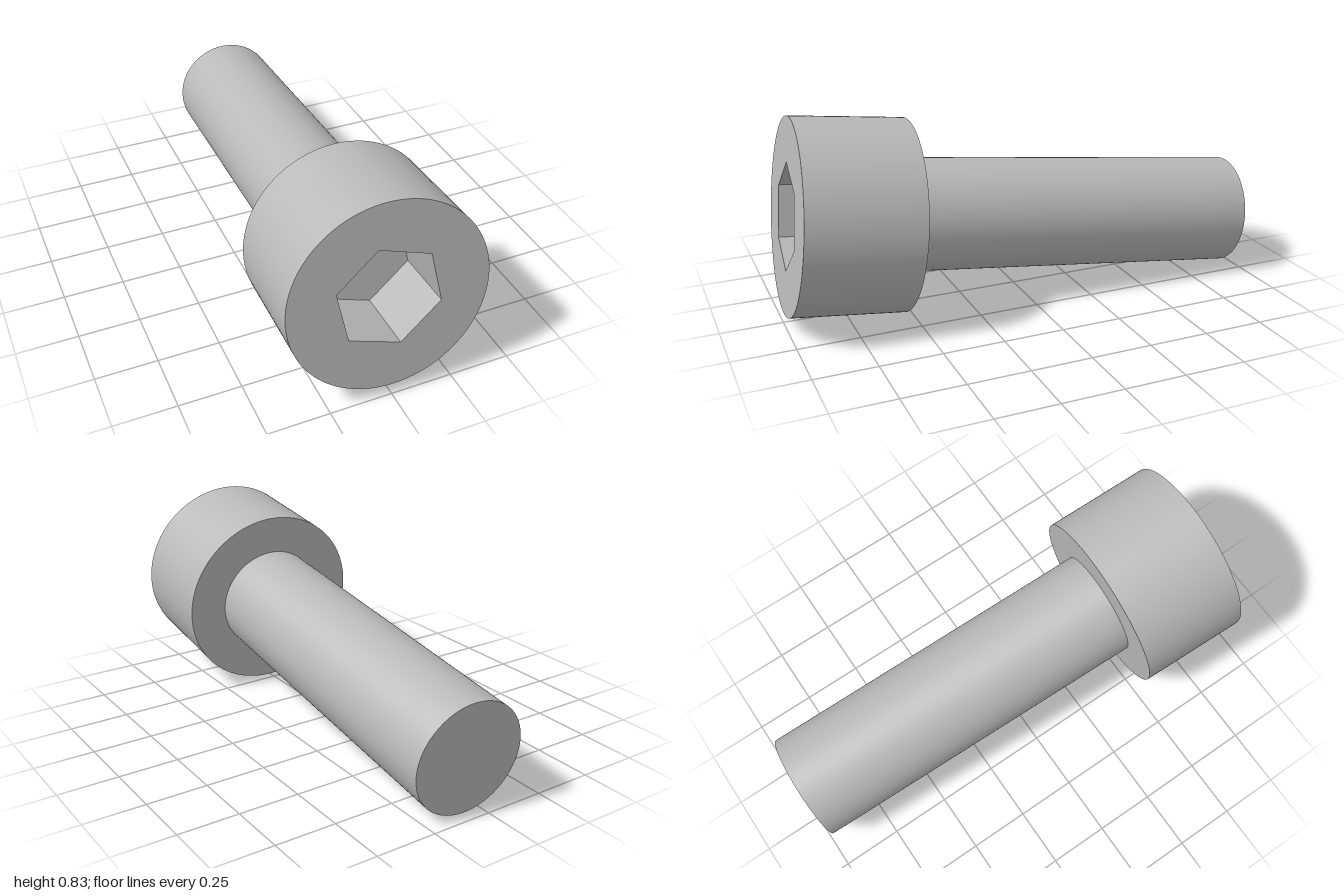
import * as THREE from 'three';

const HEAD_R = 0.393, HEAD_LEN = 0.4625;
const SHANK_R = 0.231, TOTAL_LEN = 1.943;
const HEX_R = 0.2135, HEX_DEPTH = 0.275, HEX_TURN = THREE.MathUtils.degToRad(11.7);
const SEGMENTS = 96;

export function createModel() {
  const steel = new THREE.MeshStandardMaterial({ color: 0xbababa });
  steel.name = 'steel grey';

  // Built along z with the front face at z = 0, then tilted as a whole
  const bolt = new THREE.Group();
  bolt.name = 'socketHeadBolt';

  const add = (name, geometry, z = 0) => {
    const mesh = new THREE.Mesh(geometry, steel);
    mesh.name = name;
    mesh.position.z = z;
    bolt.add(mesh);
  };

  // Open tube along z, from zFront back to zBack
  const addBarrel = (name, radius, zFront, zBack) => {
    const g = new THREE.CylinderGeometry(radius, radius, zFront - zBack, SEGMENTS, 1, true);
    add(name, g.rotateX(Math.PI / 2), (zFront + zBack) / 2);
  };

  // Head: front face with hexagonal opening, side, and shoulder ring
  const face = new THREE.Shape().absarc(0, 0, HEAD_R, 0, Math.PI * 2);
  const corners = [];
  for (let i = 0; i < 6; i++) {
    const a = HEX_TURN + Math.PI / 6 - i * Math.PI / 3;
    corners.push(new THREE.Vector2(HEX_R * Math.cos(a), HEX_R * Math.sin(a)));
  }
  face.holes.push(new THREE.Path(corners));
  add('headFace', new THREE.ShapeGeometry(face, SEGMENTS));
  addBarrel('headSide', HEAD_R, 0, -HEAD_LEN);
  add('headShoulder', new THREE.RingGeometry(SHANK_R, HEAD_R, SEGMENTS).rotateY(Math.PI), -HEAD_LEN);

  // Hex socket: mirrored so that its walls face inward
  const walls = new THREE.CylinderGeometry(HEX_R, HEX_R, HEX_DEPTH, 6, 1, true)
    .rotateX(Math.PI / 2).scale(-1, 1, 1).rotateZ(HEX_TURN).toNonIndexed();
  walls.computeVertexNormals();
  add('socketWalls', walls, -HEX_DEPTH / 2);
  add('socketFloor', new THREE.CircleGeometry(HEX_R, 6).rotateZ(HEX_TURN + Math.PI / 6), -HEX_DEPTH);

  // Plain shank with a flat end
  addBarrel('shankSide', SHANK_R, -HEAD_LEN, -TOTAL_LEN);
  add('shankEnd', new THREE.CircleGeometry(SHANK_R, SEGMENTS).rotateY(Math.PI), -TOTAL_LEN);

  // Resting tilt: lying on the rim of the head and the end of the shank
  const front = new THREE.Vector3(-0.047, 0.109, 1).normalize();
  bolt.quaternion.setFromUnitVectors(new THREE.Vector3(0, 0, 1), front);
  bolt.position.set(-0.01, 0.441, 0.956);

  const model = new THREE.Group();
  model.name = 'model';
  model.add(bolt);
  return model;
}
